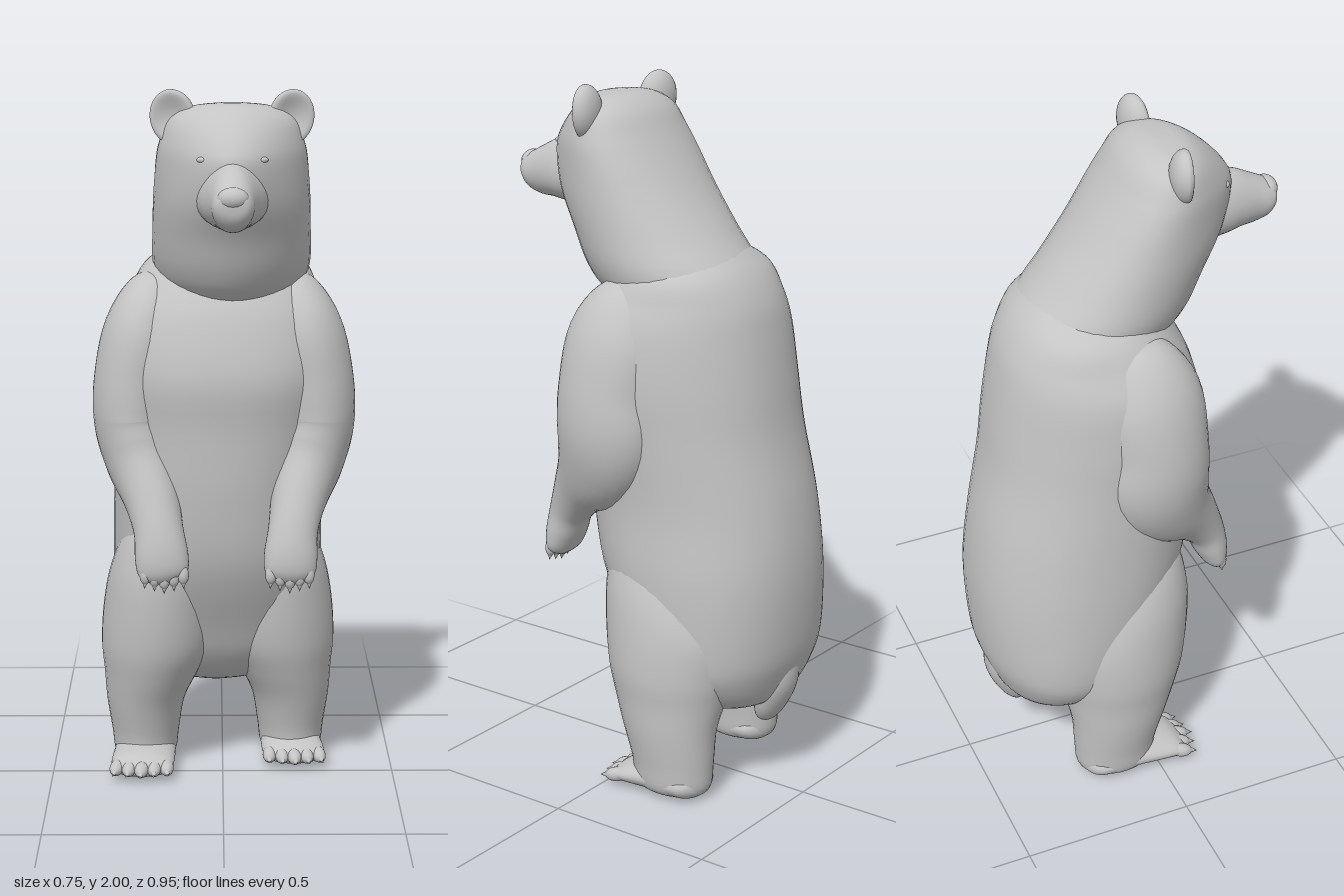
import * as THREE from 'three';

const fur = new THREE.MeshStandardMaterial({ color: 0xc4c4c4 });
fur.name = 'grey fur';

const UP = new THREE.Vector3(0, 1, 0);
const FORWARD = new THREE.Vector3(0, 0, 1);

function addMesh(parent, name, geometry) {
  const mesh = new THREE.Mesh(geometry, fur);
  mesh.name = name;
  parent.add(mesh);
  return mesh;
}

// Catmull-Rom blend of the rows [x, y, z, halfWidth, halfDepth, taper]
function refine(rows, steps) {
  const out = [];
  const at = (i) => rows[Math.min(rows.length - 1, Math.max(0, i))];
  for (let i = 0; i < rows.length - 1; i++) {
    for (let s = 0; s < steps; s++) {
      const t = s / steps;
      const [p, q, r, w] = [at(i - 1), at(i), at(i + 1), at(i + 2)];
      out.push(q.map((_, k) => {
        const v = 0.5 * (2 * q[k] + (r[k] - p[k]) * t
          + (2 * p[k] - 5 * q[k] + 4 * r[k] - w[k]) * t * t
          + (3 * q[k] - p[k] - 3 * r[k] + w[k]) * t * t * t);
        return k === 3 || k === 4 ? Math.max(v, 0.002) : v;
      }));
    }
  }
  out.push(rows[rows.length - 1]);
  return out;
}

// Smooth closed skin over oval sections; axis fixes the section plane, else it follows the path
function loft(rows, axis, power = 2, sides = 36, steps = 5) {
  const rings = refine(rows.map((r) => [...r.slice(0, 5), r[5] || 0]), steps);
  const pos = [], index = [];
  const centre = (i) => new THREE.Vector3(...rings[Math.min(rings.length - 1, Math.max(0, i))].slice(0, 3));
  const round = (v) => Math.sign(v) * Math.abs(v) ** (2 / power);
  rings.forEach(([x, y, z, a, b, taper], i) => {
    const t = axis || centre(i + 1).sub(centre(i - 1)).normalize();
    const side = new THREE.Vector3(1, 0, 0);
    side.addScaledVector(t, -side.dot(t)).normalize();
    const cross = new THREE.Vector3().crossVectors(t, side);
    for (let j = 0; j < sides; j++) {
      const u = (j / sides) * Math.PI * 2;
      const c = round(Math.cos(u)), s = round(Math.sin(u));
      const p = new THREE.Vector3(x, y, z)
        .addScaledVector(side, a * c * (1 + taper * s))
        .addScaledVector(cross, b * s);
      pos.push(p.x, p.y, p.z);
      if (i < rings.length - 1) {
        const k = i * sides + j, n = i * sides + (j + 1) % sides;
        index.push(k, n, k + sides, n, n + sides, k + sides);
      }
    }
  });
  // end caps
  const last = (rings.length - 1) * sides, cap = pos.length / 3;
  pos.push(...centre(0).toArray(), ...centre(rings.length).toArray());
  for (let j = 0; j < sides; j++) {
    const n = (j + 1) % sides;
    index.push(cap, n, j, cap + 1, last + j, last + n);
  }
  const g = new THREE.BufferGeometry();
  g.setAttribute('position', new THREE.Float32BufferAttribute(pos, 3));
  g.setIndex(index);
  g.computeVertexNormals();
  return g;
}

// Horizontal section given by its front and back z
const slice = (y, front, back, x, halfWidth, taper = 0) =>
  [x, y, (front + back) / 2, halfWidth, (front - back) / 2, taper];

function ellipsoid(parent, name, p, r) {
  const mesh = addMesh(parent, name, new THREE.SphereGeometry(1, 16, 12));
  mesh.position.set(...p);
  mesh.scale.set(...r);
  return mesh;
}

// Rounded toe with a small claw in front, pointing along dir
function toe(parent, p, dir, size) {
  const d = new THREE.Vector3(...dir).normalize();
  const turn = new THREE.Quaternion().setFromUnitVectors(UP, d);
  const pad = ellipsoid(parent, 'toe', p, [size, size * 1.7, size]);
  pad.quaternion.copy(turn);
  const claw = addMesh(parent, 'claw', new THREE.ConeGeometry(size * 0.5, size * 1.2, 8));
  claw.position.set(...p).addScaledVector(d, size * 1.9);
  claw.quaternion.copy(turn);
}

function makeArm(s) {
  const arm = new THREE.Group();
  arm.name = s > 0 ? 'leftArm' : 'rightArm';
  // the right paw hangs a little closer to the middle
  const dx = s > 0 ? 0 : 0.022;
  const rows = [
    [0.17, 1.49, -0.06, 0.01, 0.02], [0.185, 1.44, -0.05, 0.075, 0.1],
    [0.225, 1.32, -0.015, 0.115, 0.15], [0.256, 1.17, 0.0, 0.118, 0.15],
    [0.262, 1.05, 0.0, 0.114, 0.155], [0.245, 0.95, 0.045, 0.1, 0.136],
    [0.215, 0.86, 0.125, 0.08, 0.088], [0.197, 0.78, 0.18, 0.07, 0.06],
    [0.19, 0.71, 0.205, 0.075, 0.05], [0.188, 0.66, 0.217, 0.068, 0.036],
    [0.187, 0.635, 0.222, 0.03, 0.015]];
  addMesh(arm, 'upperArmAndForearm', loft(rows.map((r, i) => [s * r[0] + dx * i / 10, ...r.slice(1)])));
  for (let i = -2; i <= 2; i++) {
    toe(arm, [s * 0.187 + dx + i * 0.026, 0.648 + Math.abs(i) * 0.007, 0.226], [i * 0.04, -1, 0.12], 0.017);
  }
  return arm;
}

function makeLeg(s) {
  const leg = new THREE.Group();
  leg.name = s > 0 ? 'leftLeg' : 'rightLeg';
  addMesh(leg, 'thighAndShin', loft([
    slice(0.005, -0.1, -0.27, s * 0.205, 0.06), slice(0.03, -0.07, -0.305, s * 0.205, 0.09),
    slice(0.1, -0.06, -0.312, s * 0.205, 0.1), slice(0.2, -0.03, -0.318, s * 0.203, 0.116),
    slice(0.29, 0.005, -0.335, s * 0.185, 0.14), slice(0.38, 0.035, -0.355, s * 0.168, 0.164),
    slice(0.5, 0.052, -0.36, s * 0.16, 0.164), slice(0.62, 0.055, -0.31, s * 0.155, 0.145),
    slice(0.74, 0.03, -0.22, s * 0.15, 0.1), slice(0.82, -0.03, -0.14, s * 0.15, 0.03)], UP));
  const reach = s > 0 ? -0.025 : 0.015;
  addMesh(leg, 'foot', loft([
    [s * 0.205, 0.04, -0.3, 0.03, 0.02], [s * 0.205, 0.045, -0.26, 0.085, 0.045],
    [s * 0.205, 0.045, -0.14, 0.09, 0.045], [s * 0.21, 0.04, reach - 0.05, 0.092, 0.036],
    [s * 0.212, 0.033, reach - 0.01, 0.082, 0.026], [s * 0.212, 0.03, reach + 0.01, 0.03, 0.01]], FORWARD));
  for (let i = -2; i <= 2; i++) {
    toe(leg, [s * 0.212 + i * 0.036, 0.034, reach - Math.abs(i) * 0.009], [i * 0.08 + s * 0.1, -0.2, 1], 0.021);
  }
  // the right leg stands half a step ahead
  if (s < 0) leg.position.set(-0.025, 0, 0.07);
  return leg;
}

function makeHead() {
  const head = new THREE.Group();
  head.name = 'head';
  const x = 0.025;
  addMesh(head, 'skullAndNeck', loft([
    slice(1.34, 0.02, -0.25, x, 0.08), slice(1.43, 0.15, -0.29, x, 0.19, 0.1),
    slice(1.5, 0.205, -0.295, x, 0.222, 0.08), slice(1.6, 0.25, -0.215, x, 0.222, 0.1),
    slice(1.7, 0.305, -0.135, x, 0.214, 0.22), slice(1.8, 0.33, -0.065, x, 0.2, 0.36),
    slice(1.86, 0.305, -0.025, x, 0.19, 0.34), slice(1.92, 0.25, 0.015, x, 0.168, 0.25),
    slice(1.955, 0.2, 0.06, x, 0.11, 0.15), slice(1.965, 0.16, 0.1, x, 0.03)], UP));
  addMesh(head, 'snout', loft([
    [x, 1.735, 0.15, 0.1, 0.1], [x, 1.73, 0.24, 0.1, 0.097, -0.15], [x, 1.727, 0.3, 0.087, 0.093, -0.18],
    [x, 1.724, 0.35, 0.072, 0.085, -0.15], [x, 1.712, 0.4, 0.06, 0.072], [x, 1.708, 0.44, 0.054, 0.055],
    [x, 1.715, 0.462, 0.04, 0.035], [x, 1.72, 0.468, 0.01, 0.01]], FORWARD));
  ellipsoid(head, 'nose', [x, 1.735, 0.446], [0.042, 0.03, 0.03]);
  for (const s of [-1, 1]) {
    ellipsoid(head, 'eyelid', [x + s * 0.077, 1.822, 0.28], [0.019, 0.01, 0.014]);
    // cupped ear
    const g = new THREE.SphereGeometry(1, 24, 24);
    const p = g.attributes.position;
    for (let i = 0; i < p.count; i++) {
      const r = Math.hypot(p.getX(i), p.getY(i));
      if (p.getZ(i) > 0) p.setZ(i, p.getZ(i) - 1.1 * Math.max(0, 1 - r * r) ** 1.2);
    }
    g.computeVertexNormals();
    const ear = addMesh(head, 'ear', g);
    ear.position.set(x + s * 0.162, 1.925, 0.124);
    ear.scale.set(0.064, 0.076, 0.042);
    ear.rotation.set(0, s * 0.2, -s * 0.2);
  }
  return head;
}

export function createModel() {
  const bear = new THREE.Group();
  bear.name = 'standingBear';
  // negative taper narrows the back and broadens the chest
  addMesh(bear, 'torso', loft([
    slice(0.235, -0.15, -0.34, -0.02, 0.07), slice(0.27, -0.07, -0.4, -0.02, 0.2),
    slice(0.35, 0.0, -0.44, -0.02, 0.275), slice(0.45, 0.05, -0.465, -0.02, 0.3),
    slice(0.65, 0.14, -0.475, -0.015, 0.308), slice(0.85, 0.175, -0.455, -0.015, 0.302, -0.03),
    slice(1.05, 0.19, -0.415, -0.005, 0.308, -0.08), slice(1.2, 0.205, -0.395, 0, 0.315, -0.12),
    slice(1.34, 0.175, -0.372, 0, 0.302, -0.12), slice(1.43, 0.135, -0.348, 0.005, 0.267, -0.08),
    slice(1.51, 0.075, -0.3, 0.01, 0.22), slice(1.58, 0.0, -0.22, 0.02, 0.1)], UP, 2.2, 48));
  bear.add(makeHead());
  for (const s of [-1, 1]) bear.add(makeArm(s), makeLeg(s));
  // short hanging tail
  addMesh(bear, 'tail', loft([
    [-0.025, 0.44, -0.41, 0.045, 0.03], [-0.025, 0.33, -0.395, 0.07, 0.05],
    [-0.025, 0.25, -0.37, 0.062, 0.044], [-0.025, 0.2, -0.35, 0.04, 0.028],
    [-0.025, 0.18, -0.34, 0.005, 0.005]]));
  return bear;
}
